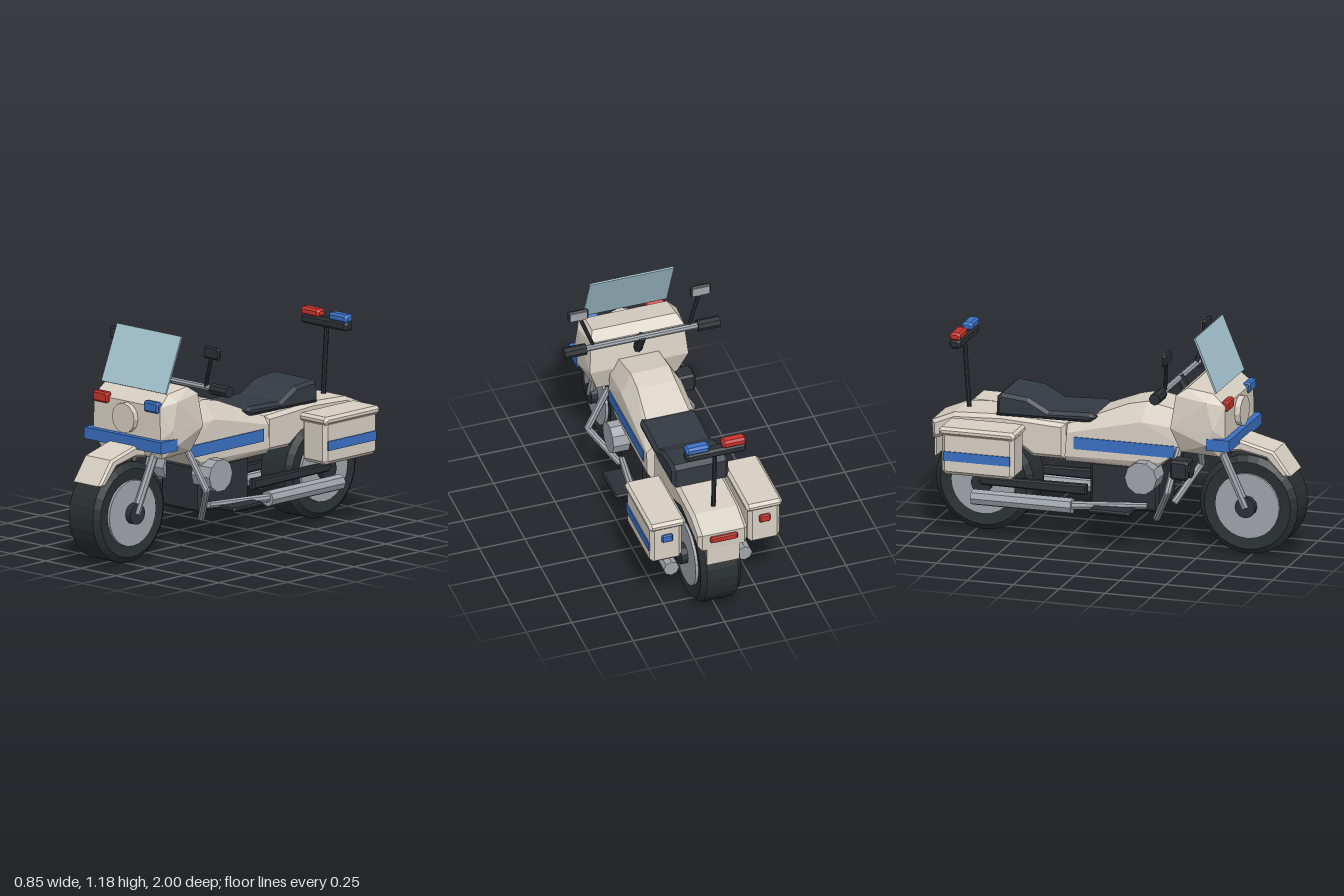
import * as THREE from 'three';
import { ConvexGeometry } from 'three/addons/geometries/ConvexGeometry.js';

const paint = (name, color) => {
  const m = new THREE.MeshStandardMaterial({ color, flatShading: true });
  m.name = name;
  return m;
};

export function createModel() {
  const root = new THREE.Group();
  root.name = 'policeMotorcycle';

  const body = paint('cream paint', 0xd8d0c4);
  const dark = paint('dark plastic', 0x2c3136);
  const tyre = paint('tyre rubber', 0x2a3033);
  const seatMat = paint('seat vinyl', 0x343a42);
  const metal = paint('grey metal', 0xa0a5ab);
  const blue = paint('blue', 0x3a70c4);
  const red = paint('red', 0xc8322c);
  const glass = paint('windshield glass', 0xa6c6d2);
  glass.side = THREE.DoubleSide;

  const add = (name, geo, mat, x = 0, y = 0, z = 0) => {
    const m = new THREE.Mesh(geo, mat);
    m.name = name;
    m.position.set(x, y, z);
    root.add(m);
    return m;
  };

  // Side profile of [z, y] points, extruded across x with chamfered rims
  const prism = (pts, width, b) => {
    const s = new THREE.Shape(pts.map(p => new THREE.Vector2(p[0], p[1])));
    const g = new THREE.ExtrudeGeometry(s, {
      depth: width - 2 * b, bevelEnabled: b > 0, bevelThickness: b,
      bevelSize: b, bevelOffset: -b, bevelSegments: 1,
    });
    g.translate(0, 0, -(width - 2 * b) / 2);
    return g.rotateY(-Math.PI / 2);
  };

  // Box with every edge chamfered
  const chamferBox = (w, h, d, b) => {
    const y = h / 2, z = d / 2;
    return prism([[-z + b, -y], [z - b, -y], [z, -y + b], [z, y - b],
      [z - b, y], [-z + b, y], [-z, y - b], [-z, -y + b]], w, b);
  };

  // Round bar between two points
  const rod = (name, a, b, r, mat, sides = 8, r2 = r) => {
    const p = new THREE.Vector3(...a), q = new THREE.Vector3(...b);
    const dir = q.clone().sub(p);
    const m = add(name, new THREE.CylinderGeometry(r2, r, dir.length(), sides), mat);
    m.position.copy(p).add(q).multiplyScalar(0.5);
    m.quaternion.setFromUnitVectors(new THREE.Vector3(0, 1, 0), dir.normalize());
    return m;
  };

  // Convex shell from [halfWidth, y, z] points mirrored across x
  const shell = pts => new ConvexGeometry(pts.flatMap(([x, y, z]) =>
    [new THREE.Vector3(x, y, z), new THREE.Vector3(-x, y, z)]));

  // Wheels
  const tyreProfile = [[0.16, -0.1], [0.235, -0.11], [0.267, -0.085],
    [0.267, 0.085], [0.235, 0.11], [0.16, 0.1]].map(p => new THREE.Vector2(...p));
  for (const [side, z] of [['front', 0.733], ['rear', -0.705]]) {
    add(side + 'Tyre', new THREE.LatheGeometry(tyreProfile, 28).rotateZ(Math.PI / 2), tyre, 0, 0.267, z);
    rod(side + 'Rim', [-0.117, 0.267, z], [0.117, 0.267, z], 0.175, metal, 24);
    rod(side + 'Hub', [-0.152, 0.267, z], [0.152, 0.267, z], 0.056, dark, 12);
  }

  // Front fender
  add('frontFender', prism([[0.54, 0.57], [0.69, 0.612], [0.87, 0.565], [0.962, 0.44],
    [0.92, 0.43], [0.83, 0.525], [0.69, 0.553], [0.54, 0.53]].reverse(), 0.2, 0.012), body);

  // Front fairing with bumper band, headlight and flashers
  add('fairing', shell([
    [0.27, 0.695, 0.365], [0.255, 0.87, 0.39], [0.23, 0.91, 0.445], [0.225, 0.89, 0.58],
    [0.235, 0.83, 0.652], [0.24, 0.66, 0.655], [0.272, 0.85, 0.56], [0.273, 0.62, 0.56],
    [0.275, 0.7, 0.6], [0.22, 0.56, 0.405], [0.22, 0.55, 0.62]]), body);
  add('fairingBand', new THREE.BoxGeometry(0.55, 0.062, 0.125), blue, 0, 0.626, 0.624);
  rod('headlight', [0, 0.745, 0.6], [0, 0.745, 0.683], 0.08, body, 12);
  add('flasherRed', chamferBox(0.104, 0.057, 0.04, 0.009), red, -0.18, 0.828, 0.65);
  add('flasherBlue', chamferBox(0.104, 0.057, 0.04, 0.009), blue, 0.18, 0.828, 0.65);
  const screen = add('windshield', new THREE.BoxGeometry(0.46, 0.31, 0.01), glass, 0, 1.037, 0.542);
  screen.rotation.x = -0.39;

  // Handlebar and steering stem
  rod('handlebar', [-0.32, 0.892, 0.33], [0.32, 0.892, 0.33], 0.017, metal);
  rod('steeringStem', [0, 0.9, 0.325], [0, 0.78, 0.39], 0.026, dark);

  // Fuel tank and middle body
  add('tank', shell([
    [0.11, 0.74, 0.39], [0.105, 0.78, 0.19], [0.105, 0.757, 0.085], [0.13, 0.625, -0.24],
    [0.155, 0.66, 0.385], [0.165, 0.68, 0.17], [0.165, 0.58, 0.37], [0.165, 0.585, -0.235],
    [0.165, 0.53, 0.37], [0.165, 0.47, 0.28], [0.165, 0.46, -0.245], [0.145, 0.43, 0.245],
    [0.145, 0.43, -0.245]]), body);

  // Tail body, plate and tail light
  add('tailBody', prism([[-0.255, 0.62], [-0.6, 0.64], [-0.86, 0.628], [-0.985, 0.575],
    [-0.978, 0.475], [-0.9, 0.5], [-0.7, 0.55], [-0.52, 0.49], [-0.43, 0.43], [-0.255, 0.43]],
    0.27, 0.02), body);
  add('numberPlate', new THREE.BoxGeometry(0.18, 0.13, 0.01), body, 0, 0.44, -0.973);
  add('tailLight', chamferBox(0.15, 0.036, 0.026, 0.006), red, 0, 0.543, -0.986);

  // Stepped seat
  add('seat', prism([[-0.075, 0.68], [-0.115, 0.697], [-0.34, 0.688], [-0.45, 0.748],
    [-0.595, 0.762], [-0.62, 0.742], [-0.625, 0.638], [-0.11, 0.645]], 0.31, 0.018), seatMat);

  // Emergency light bar on its pole
  rod('lightPole', [0, 0.62, -0.818], [0, 0.99, -0.845], 0.013, dark);
  add('lightBar', chamferBox(0.33, 0.05, 0.06, 0.012), dark, 0, 1.005, -0.845);
  add('beaconRed', chamferBox(0.13, 0.045, 0.06, 0.012), red, -0.1, 1.045, -0.845);
  add('beaconBlue', chamferBox(0.13, 0.045, 0.06, 0.012), blue, 0.1, 1.045, -0.845);

  // Engine block and siren box
  add('engineBlock', chamferBox(0.28, 0.25, 0.375, 0.015), dark, 0, 0.315, 0.07);
  add('siren', chamferBox(0.104, 0.104, 0.1, 0.012), dark, -0.263, 0.482, 0.425);
  rod('sirenFace', [-0.263, 0.482, 0.47], [-0.263, 0.482, 0.482], 0.045, tyre, 8);
  rod('sirenMount', [-0.22, 0.5, 0.4], [-0.1, 0.52, 0.37], 0.015, dark);

  // Mirrored parts
  for (const s of [-1, 1]) {
    rod('fork', [s * 0.138, 0.267, 0.735], [s * 0.153, 0.6, 0.59], 0.023, metal);
    rod('grip', [s * 0.305, 0.89, 0.33], [s * 0.425, 0.89, 0.33], 0.031, dark);

    rod('mirrorStalk', [s * 0.26, 0.895, 0.335], [s * 0.328, 1.08, 0.362], 0.01, dark);
    add('mirrorHousing', chamferBox(0.112, 0.064, 0.024, 0.008), dark, s * 0.335, 1.091, 0.366);
    add('mirrorGlass', new THREE.BoxGeometry(0.094, 0.048, 0.006), metal, s * 0.335, 1.091, 0.353);

    add('tankStripe', new THREE.BoxGeometry(0.008, 0.064, 0.55), blue, s * 0.167, 0.536, 0.08);

    // Engine cylinders, crash bars and foot boards
    rod('engineCylinder', [s * 0.1, 0.395, 0.19], [s * 0.23, 0.395, 0.19], 0.087, metal, 10);
    const bar = [[s * 0.165, 0.56, 0.38], [s * 0.285, 0.35, 0.355], [s * 0.145, 0.165, 0.25]];
    rod('crashBarUpper', bar[0], bar[1], 0.019, metal);
    rod('crashBarLower', bar[1], bar[2], 0.019, metal);
    add('crashBarJoint', new THREE.IcosahedronGeometry(0.02, 0), metal, ...bar[1]);
    add('footBoard', chamferBox(0.15, 0.024, 0.225, 0.008), dark, s * 0.207, 0.208, 0.032);

    // Swing arm and exhaust
    add('swingArm', prism([[-0.13, 0.255], [-0.13, 0.31], [-0.7, 0.305], [-0.72, 0.285],
      [-0.7, 0.26]], 0.04, 0.008), dark, s * 0.14);
    rod('exhaustPipe', [s * 0.15, 0.228, 0.2], [s * 0.2, 0.208, -0.2], 0.018, metal, 8, 0.024);
    rod('muffler', [s * 0.2, 0.205, -0.19], [s * 0.2, 0.205, -0.735], 0.042, metal, 8);

    // Saddlebag with lid, stripe and rear light
    add('saddlebag', chamferBox(0.175, 0.235, 0.395, 0.02), body, s * 0.268, 0.475, -0.66);
    add('saddlebagLid', chamferBox(0.2, 0.045, 0.415, 0.015), body, s * 0.265, 0.592, -0.662);
    add('saddlebagStripe', new THREE.BoxGeometry(0.009, 0.05, 0.36), blue, s * 0.357, 0.46, -0.66);
    add('saddlebagLight', chamferBox(0.06, 0.045, 0.024, 0.006), s > 0 ? blue : red,
      s * 0.267, 0.513, -0.86);
  }

  return root;
}
